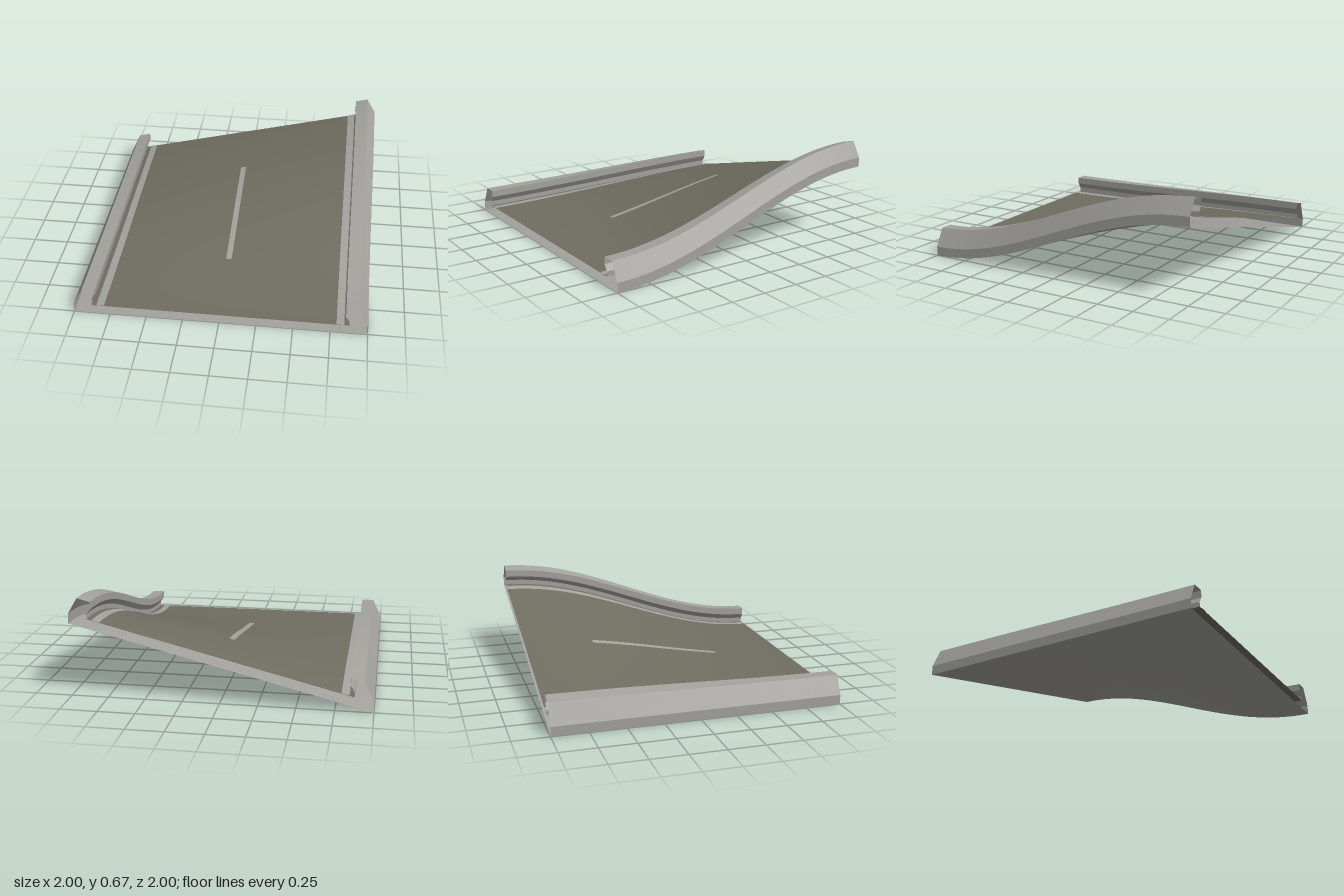
import * as THREE from 'three';

const STEPS = 40;

// Height of the twisted deck: flat along x = -1, S-curve rising to 0.5 along x = +1
const rise = (x, z) => 0.125 * (x + 1) * (1 - Math.cos(Math.PI * (1 - z) / 2));

// Sweep a cross-section [x, y] along z; each span is its own smooth strip, so profile corners stay sharp.
// Points running left to right over the top face outward.
function sweep(profile, z0 = 1, z1 = -1, across = 1) {
  const pos = [], idx = [];
  for (let s = 0; s < profile.length - 1; s++) {
    const base = pos.length / 3;
    const [a, b] = [profile[s], profile[s + 1]];
    for (let i = 0; i <= STEPS; i++) {
      const z = z0 + (z1 - z0) * i / STEPS;
      for (let j = 0; j <= across; j++) {
        const t = j / across;
        const x = a[0] + (b[0] - a[0]) * t;
        pos.push(x, a[1] + (b[1] - a[1]) * t + rise(x, z), z);
      }
    }
    const w = across + 1;
    for (let i = 0; i < STEPS; i++) {
      for (let j = 0; j < across; j++) {
        const p = base + i * w + j, q = p + w;
        idx.push(p, p + 1, q + 1, p, q + 1, q);
      }
    }
  }
  const g = new THREE.BufferGeometry();
  g.setAttribute('position', new THREE.Float32BufferAttribute(pos, 3));
  g.setIndex(idx);
  g.computeVertexNormals();
  return g;
}

export function createModel() {
  const concrete = new THREE.MeshStandardMaterial({ color: 0xa3a29d, side: THREE.DoubleSide });
  concrete.name = 'concrete grey';
  const asphalt = new THREE.MeshStandardMaterial({ color: 0x706d61, side: THREE.DoubleSide });
  asphalt.name = 'asphalt brown grey';

  const group = new THREE.Group();
  group.name = 'bankedRoadRamp';
  const add = (name, geometry, material) => {
    const m = new THREE.Mesh(geometry, material);
    m.name = name;
    group.add(m);
  };

  // Driving surface and underside; the ends stay open
  add('roadSurface', sweep([[-0.875, 0.066], [0.875, 0.066]], 1, -1, 24), asphalt);
  add('underside', sweep([[1, 0], [-1, 0]], 1, -1, 24), concrete);

  // Barrier: inner foot, overhang, flat top, sloped outer face, outer skirt
  const barrier = [[0.875, 0.066], [0.875, 0.1], [0.848, 0.14], [0.848, 0.19], [0.936, 0.19], [1, 0.066], [1, 0]];
  add('leftBarrier', sweep(barrier), concrete);
  add('rightBarrier', sweep(barrier.map(([x, y]) => [-x, y]).reverse()), concrete);

  // Painted lines just above the road
  const y = 0.069;
  add('leftEdgeLine', sweep([[0.79, y], [0.842, y]]), concrete);
  add('rightEdgeLine', sweep([[-0.842, y], [-0.79, y]]), concrete);
  add('centreLine', sweep([[-0.02, y], [0.02, y]], 0.45, -0.5), concrete);

  return group;
}
